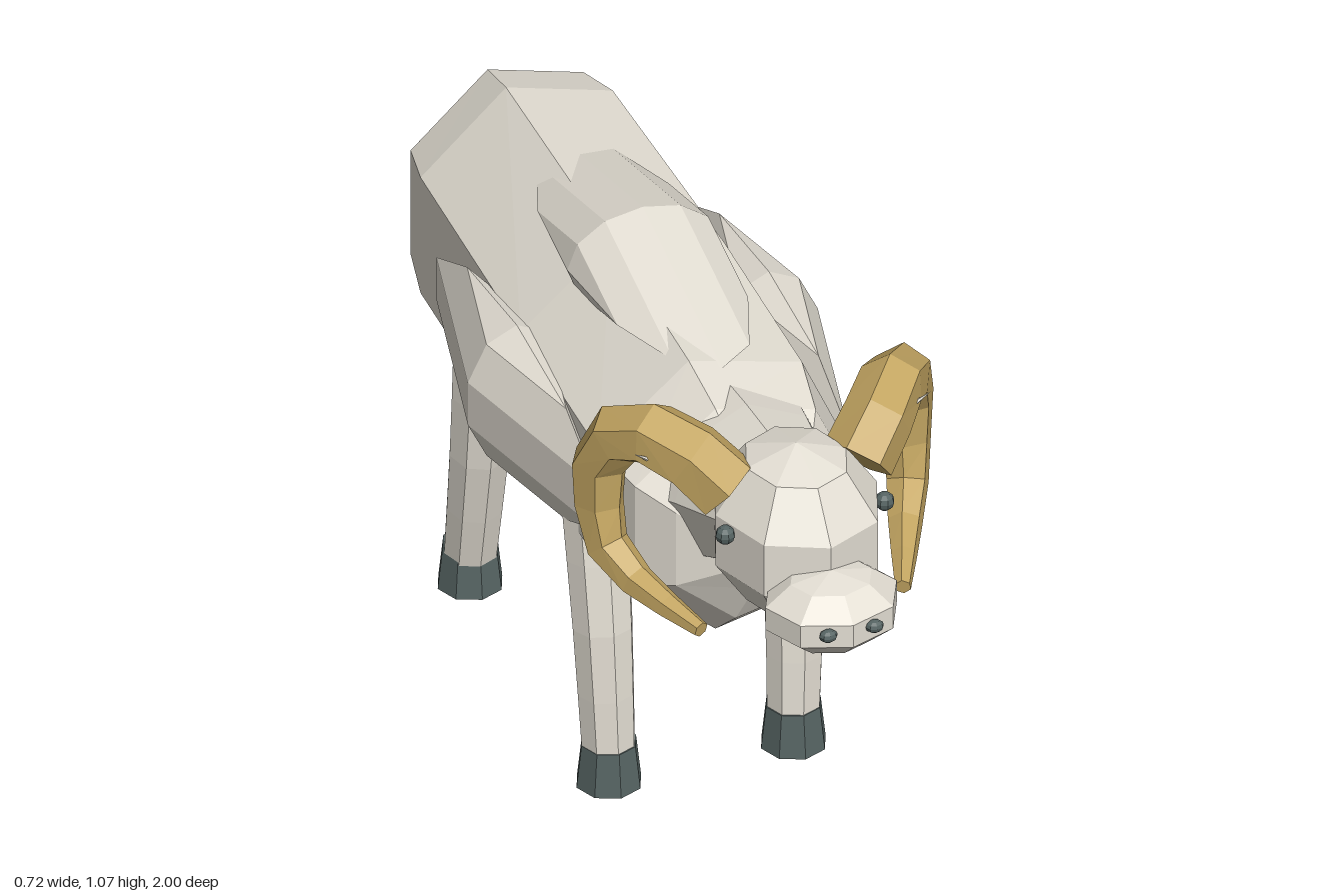
import * as THREE from 'three';

const paint = (color) => new THREE.MeshStandardMaterial({ color, flatShading: true });
const V = (x, y, z) => new THREE.Vector3(x, y, z);

// Joins rings of points into a closed skin, with a flat cap at each end
function loft(rings) {
  const pos = [], idx = [], n = rings[0].length;
  rings.forEach((ring) => ring.forEach((p) => pos.push(p.x, p.y, p.z)));
  for (let i = 0; i < rings.length - 1; i++) {
    for (let j = 0; j < n; j++) {
      const k = (j + 1) % n, a = i * n, b = a + n;
      idx.push(a + j, a + k, b + k, a + j, b + k, b + j);
    }
  }
  const last = (rings.length - 1) * n;
  for (let j = 1; j < n - 1; j++) {
    idx.push(0, j + 1, j, last, last + j, last + j + 1);
  }
  const g = new THREE.BufferGeometry();
  g.setAttribute('position', new THREE.Float32BufferAttribute(pos, 3));
  g.setIndex(idx);
  const flat = g.toNonIndexed();
  flat.computeVertexNormals();
  return flat;
}

// Tapered tube along a smooth path; radius(t) gives the thickness
function taperedTube(points, radius, sides, steps) {
  const curve = new THREE.CatmullRomCurve3(points.map((p) => V(...p)));
  const { normals, binormals } = curve.computeFrenetFrames(steps);
  const rings = [];
  for (let i = 0; i <= steps; i++) {
    const c = curve.getPointAt(i / steps), r = radius(i / steps), ring = [];
    for (let j = 0; j < sides; j++) {
      const a = (j / sides) * Math.PI * 2;
      ring.push(c.clone()
        .addScaledVector(normals[i], r * Math.cos(a))
        .addScaledVector(binormals[i], r * Math.sin(a)));
    }
    rings.push(ring);
  }
  return loft(rings);
}

const lerp = THREE.MathUtils.lerp;

export function createModel() {
  const model = new THREE.Group();
  const wool = paint(0xe4dfd4), horn = paint(0xc4a662), dark = paint(0x566463);

  function add(name, geometry, material) {
    const mesh = new THREE.Mesh(geometry, material);
    mesh.name = name;
    model.add(mesh);
    return mesh;
  }
  function ellipsoid(name, center, size, material, wide = 8, high = 5) {
    const mesh = add(name, new THREE.SphereGeometry(1, wide, high), material);
    mesh.position.set(...center);
    mesh.scale.set(...size);
    return mesh;
  }

  // Body: seven-sided barrel with rounded ends, as [z, y, half width, half height]
  const sections = [
    [-0.865, 0.69, 0.05, 0.05], [-0.83, 0.69, 0.175, 0.19], [-0.76, 0.69, 0.225, 0.265],
    [-0.65, 0.69, 0.25, 0.295], [-0.1, 0.69, 0.265, 0.295], [0.3, 0.68, 0.265, 0.285],
    [0.42, 0.68, 0.235, 0.25], [0.49, 0.68, 0.175, 0.185], [0.54, 0.68, 0.09, 0.09],
  ];
  add('body', loft(sections.map(([z, y, w, h]) => Array.from({ length: 7 }, (_, j) => {
    const a = (j / 7) * Math.PI * 2;
    return V(w * Math.cos(a), y + h * Math.sin(a), z);
  }))), wool);

  // Fleece pads on the back, belly and flanks
  for (const [name, y, h] of [['backFleece', 0.94, 0.105], ['bellyFleece', 0.43, 0.105]]) {
    const pad = ellipsoid(name, [0, y, -0.09], [h, 0.15, 0.41], wool, 4, 6);
    pad.rotation.z = Math.PI / 2;
  }

  // Neck, head and muzzle
  add('neck', taperedTube([[0, 0.74, 0.36], [0, 0.78, 0.48], [0, 0.82, 0.62]],
    (t) => lerp(0.19, 0.13, t), 8, 2), wool);
  ellipsoid('head', [0, 0.83, 0.7], [0.168, 0.18, 0.19], wool);
  ellipsoid('muzzle', [0, 0.76, 0.88], [0.137, 0.078, 0.12], wool);

  for (const s of [1, -1]) {
    const side = s > 0 ? 'left' : 'right';
    ellipsoid(side + 'FlankFleece', [s * 0.25, 0.69, -0.09], [0.102, 0.152, 0.435], wool, 4, 5);
    ellipsoid(side + 'Eye', [s * 0.158, 0.87, 0.745], [0.019, 0.019, 0.019], dark, 8, 6);
    ellipsoid(side + 'Nostril', [s * 0.046, 0.767, 0.985], [0.018, 0.013, 0.014], dark, 8, 6);

    // Pointed ear
    const from = V(s * 0.1, 0.88, 0.61), to = V(s * 0.295, 1.01, 0.63);
    const ear = add(side + 'Ear', new THREE.ConeGeometry(0.03, from.distanceTo(to), 5), wool);
    ear.position.lerpVectors(from, to, 0.5);
    ear.quaternion.setFromUnitVectors(V(0, 1, 0), to.clone().sub(from).normalize());

    // Horn curling back, down and forward
    add(side + 'Horn', taperedTube([
      [s * 0.13, 0.93, 0.68], [s * 0.19, 0.995, 0.64], [s * 0.255, 1.005, 0.55],
      [s * 0.298, 0.94, 0.485], [s * 0.305, 0.83, 0.475], [s * 0.3, 0.74, 0.495],
      [s * 0.27, 0.69, 0.56], [s * 0.2, 0.66, 0.73],
    ], (t) => lerp(0.07, 0.016, t * t * 0.65 + t * 0.35), 6, 9), horn);

    // Legs and hooves
    const legs = {
      Front: [[s * 0.19, 0.62, 0.15], [s * 0.19, 0.35, 0.195], [s * 0.183, 0.06, 0.21]],
      Rear: [[s * 0.19, 0.62, -0.4], [s * 0.19, 0.36, -0.435], [s * 0.183, 0.06, -0.505]],
    };
    for (const [end, path] of Object.entries(legs)) {
      add(side + end + 'Leg', taperedTube(path, (t) => lerp(0.066, 0.052, t), 8, 4), wool);
      const hoof = add(side + end + 'Hoof', new THREE.CylinderGeometry(0.054, 0.064, 0.09, 8), dark);
      hoof.position.set(s * 0.183, 0.045, path[2][2]);
    }
  }

  // Tail
  add('tail', taperedTube([[0, 0.68, -0.82], [0, 0.55, -0.89], [0.015, 0.39, -0.955], [0.043, 0.24, -0.985]],
    (t) => lerp(0.026, 0.015, t), 6, 6), wool);

  return model;
}
